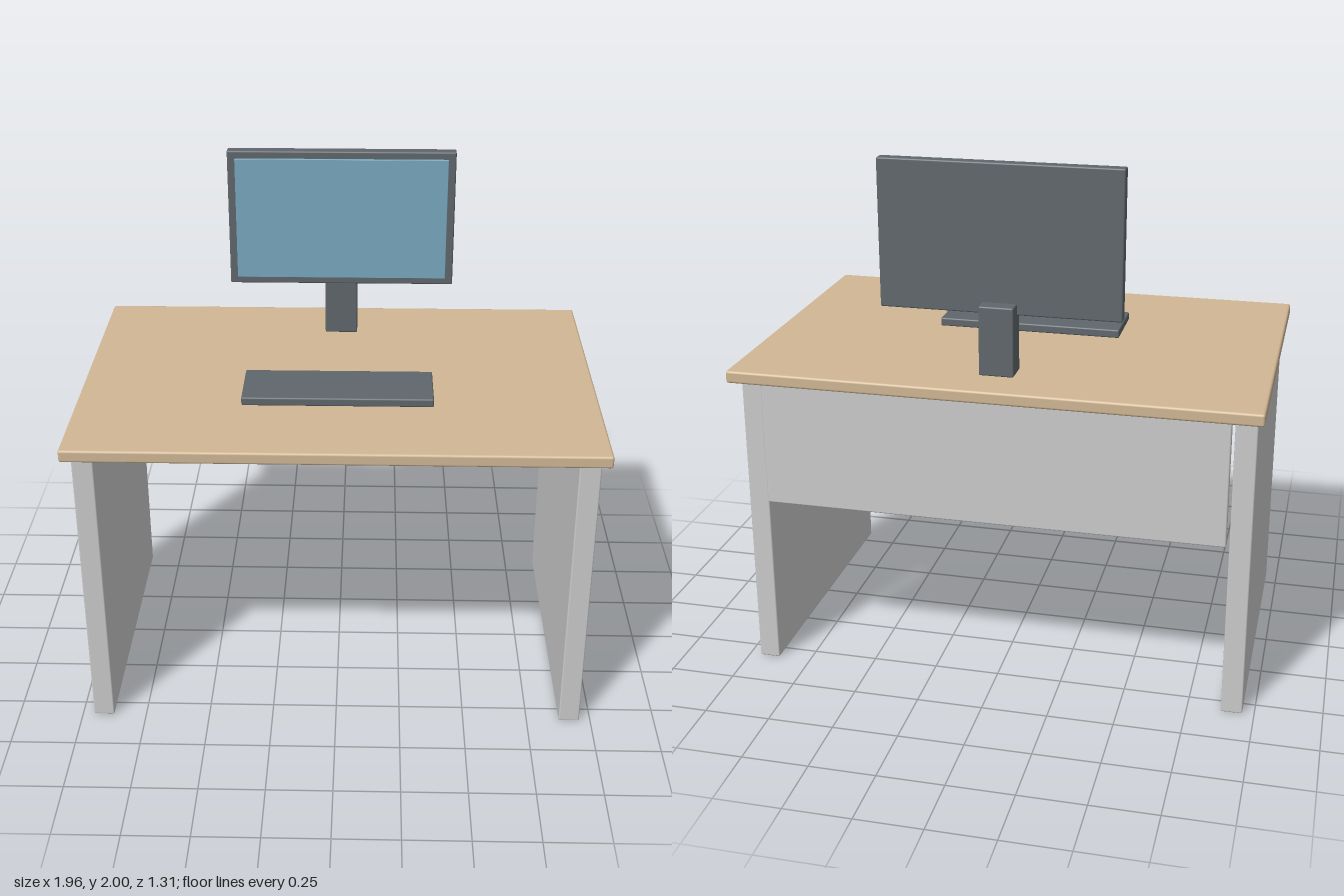
import * as THREE from 'three';
import { RoundedBoxGeometry } from 'three/addons/geometries/RoundedBoxGeometry.js';

const grey = new THREE.MeshStandardMaterial({ color: 0xcccccc });
const wood = new THREE.MeshStandardMaterial({ color: 0xd0b794 });
const dark = new THREE.MeshStandardMaterial({ color: 0x60676c });
const glass = new THREE.MeshStandardMaterial({ color: 0x78a8c0 });

// Box with softened edges, given by its extent along each axis
function slab(name, [x0, x1], [y0, y1], [z0, z1], material, radius = 0.006) {
  const geometry = new RoundedBoxGeometry(x1 - x0, y1 - y0, z1 - z0, 2, radius);
  const mesh = new THREE.Mesh(geometry, material);
  mesh.name = name;
  mesh.position.set((x0 + x1) / 2, (y0 + y1) / 2, (z0 + z1) / 2);
  return mesh;
}

export function createModel() {
  const model = new THREE.Group();
  model.name = 'computerDesk';

  // Desk: top, two side panels and the rear modesty panel
  const desk = new THREE.Group();
  desk.name = 'desk';
  desk.add(
    slab('tabletop', [-0.982, 0.982], [1.182, 1.229], [-0.655, 0.655], wood, 0.009),
    slab('leftSidePanel', [0.876, 0.956], [0, 1.182], [-0.573, 0.573], grey),
    slab('rightSidePanel', [-0.956, -0.876], [0, 1.182], [-0.573, 0.573], grey),
    slab('modestyPanel', [-0.867, 0.867], [0.692, 1.182], [-0.605, -0.572], grey),
  );

  // Monitor: upright stand, casing and a screen standing slightly proud
  const monitor = new THREE.Group();
  monitor.name = 'monitor';
  monitor.add(
    slab('monitorStand', [-0.065, 0.065], [1.229, 1.491], [-0.491, -0.393], dark),
    slab('monitorCasing', [-0.449, 0.449], [1.448, 2], [-0.434, -0.387], dark),
    slab('screen', [-0.419, 0.419], [1.477, 1.971], [-0.393, -0.377], glass, 0.002),
  );

  // Keyboard
  const keyboard = slab('keyboard', [-0.36, 0.36], [1.229, 1.262], [0.041, 0.285], dark);

  model.add(desk, monitor, keyboard);
  return model;
}
